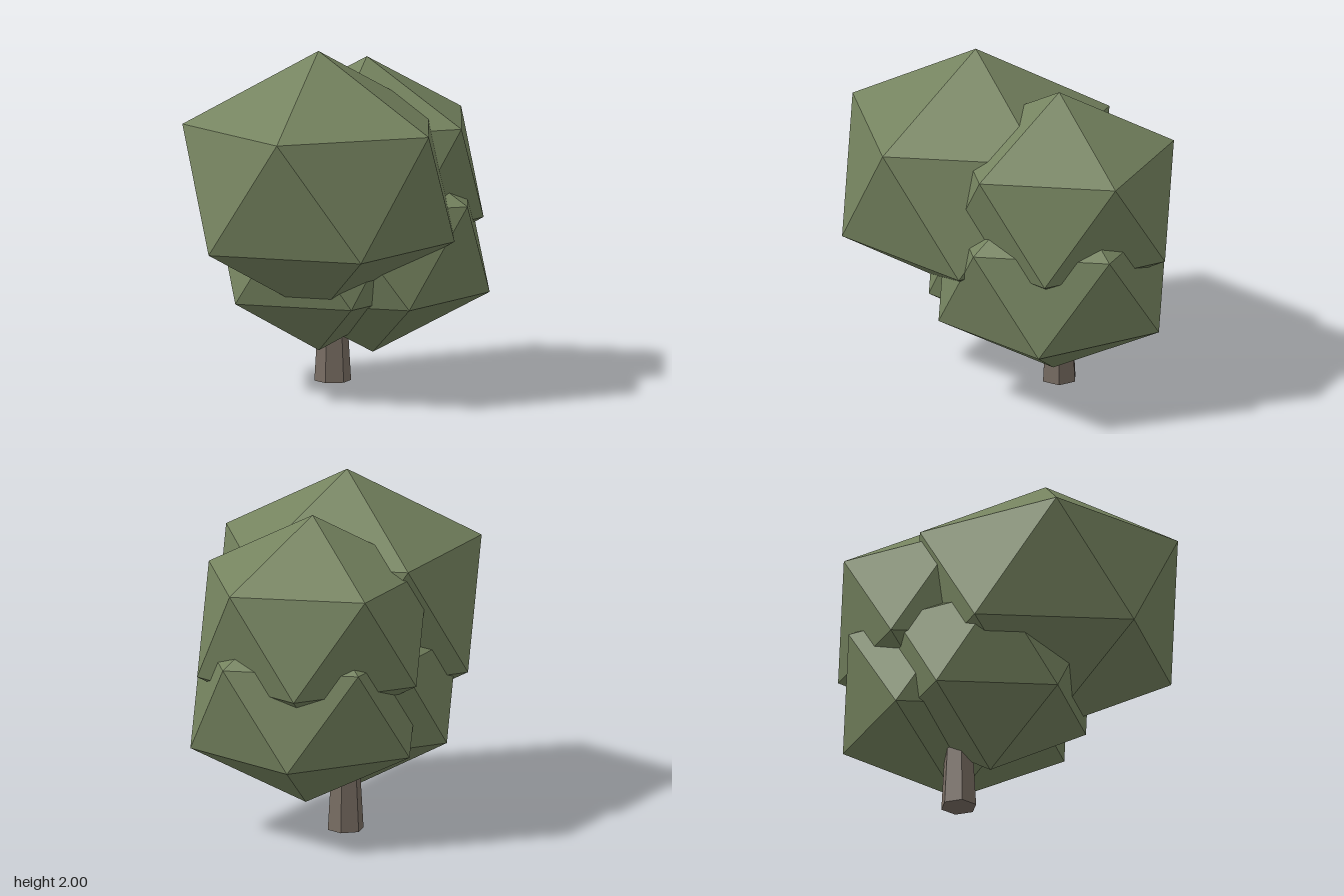
import * as THREE from 'three';

const leafMat = new THREE.MeshStandardMaterial({ color: 0x75835f, flatShading: true });
leafMat.name = 'sage green';
const barkMat = new THREE.MeshStandardMaterial({ color: 0x776c62, flatShading: true });
barkMat.name = 'bark brown';

// Squashed icosahedron standing on a corner, with one upper-ring corner facing +x
function leafClump(name, [x, y, z], radius, halfHeight) {
  const geo = new THREE.IcosahedronGeometry(1, 0);
  geo.rotateZ(-Math.atan(2 / (1 + Math.sqrt(5))));
  geo.scale(radius, halfHeight, radius);
  const mesh = new THREE.Mesh(geo, leafMat);
  mesh.name = name;
  mesh.position.set(x, y, z);
  return mesh;
}

export function createModel() {
  const tree = new THREE.Group();
  tree.name = 'tree';

  // Tapered six-sided trunk
  const trunk = new THREE.Mesh(new THREE.CylinderGeometry(0.065, 0.106, 0.7, 6), barkMat);
  trunk.name = 'trunk';
  trunk.position.set(0.137, 0.35, -0.275);
  tree.add(trunk);

  // Overlapping foliage clumps: centre, radius, half height
  tree.add(
    leafClump('largeUpperFoliage', [-0.22, 1.235, 0.075], 0.873, 0.768),
    leafClump('upperLeftFoliage', [0.31, 1.235, -0.18], 0.749, 0.647),
    leafClump('lowerLeftFoliage', [0.32, 0.797, -0.135], 0.749, 0.63),
    leafClump('lowerRightFoliage', [-0.03, 0.8, -0.18], 0.665, 0.595),
  );
  return tree;
}
